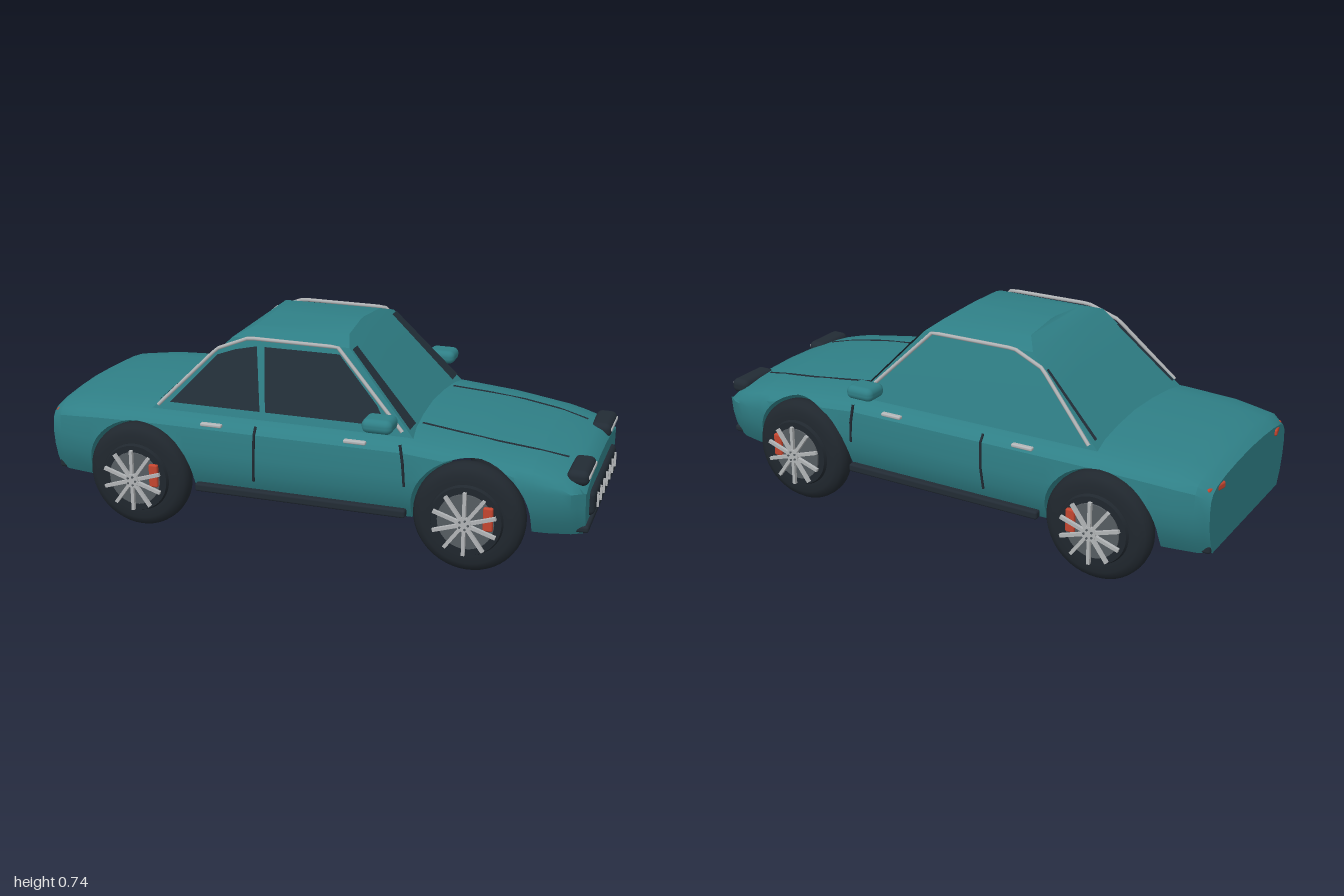
import * as THREE from 'three';
import { toCreasedNormals } from 'three/addons/utils/BufferGeometryUtils.js';
import { RoundedBoxGeometry } from 'three/addons/geometries/RoundedBoxGeometry.js';

const mat = (name, color, side = THREE.FrontSide) => {
  const m = new THREE.MeshStandardMaterial({ color, side });
  m.name = name;
  return m;
};
const paint = mat('teal paint', 0x2f7f86);
const dark = mat('dark trim', 0x222b34);
const glass = mat('dark glass', 0x232f39, THREE.DoubleSide);
const rubber = mat('tyre rubber', 0x20272e);
const silver = mat('silver', 0xb2b5b7);
const rotorGrey = mat('rotor grey', 0x565c61);
const red = mat('red', 0xc4452f);

const FLOOR = 0.15, AXLE_Y = 0.195, ARCH = 0.207, AXLES = [-0.628, 0.593];

// Piecewise linear lookup in [[key, value], ...]
function lookup(table, k) {
  if (k <= table[0][0]) return table[0][1];
  for (let i = 1; i < table.length; i++) {
    const [a, va] = table[i - 1], [b, vb] = table[i];
    if (k <= b) return va + (vb - va) * (k - a) / (b - a || 1);
  }
  return table[table.length - 1][1];
}

const WIDTH = [[-1, 0.345], [-0.95, 0.375], [-0.8, 0.398], [-0.6, 0.405], [0.6, 0.405], [0.85, 0.39], [0.93, 0.37], [0.975, 0.34]];
const HEIGHT = [[-1, 0.412], [-0.955, 0.437], [-0.8, 0.453], [-0.6, 0.46], [0.36, 0.458], [0.6, 0.436], [0.8, 0.408], [0.9, 0.385], [0.95, 0.365], [0.975, 0.34]];

// Half cross-section of the body at x: [y, z] from floor to centre line
function halfSection(x) {
  const w = lookup(WIDTH, x), h = lookup(HEIGHT, x), s = h - 0.038;
  return [[FLOOR, 0.87 * w], [0.2, 0.94 * w], [0.25, 0.98 * w], [0.31, w], [s - 0.022, 0.985 * w],
    [s, 0.94 * w], [s + 0.014, 0.86 * w], [s + 0.026, 0.65 * w], [s + 0.034, 0.35 * w], [h, 0]];
}
const deckY = (x, z) => lookup(halfSection(x).map(([y, w]) => [w, y]).reverse(), z);

// Skin closed rings of [x, y, z] points and cap both ends
function loft(rings, crease) {
  const n = rings[0].length, pos = rings.flat(2), idx = [];
  for (let i = 0; i < rings.length - 1; i++) {
    for (let j = 0; j < n; j++) {
      const a = i * n + j, b = i * n + (j + 1) % n;
      idx.push(a, a + n, b, b, a + n, b + n);
    }
  }
  const last = (rings.length - 1) * n;
  for (let j = 1; j < n - 1; j++) idx.push(0, j, j + 1, last, last + j + 1, last + j);
  const g = new THREE.BufferGeometry();
  g.setAttribute('position', new THREE.Float32BufferAttribute(pos, 3));
  g.setIndex(idx);
  return toCreasedNormals(g, crease);
}

function bodyGeometry() {
  // Stations along the car, following each wheel arch
  const stations = [-1, -0.985, -0.955, -0.88, 0.82, 0.85, 0.9, 0.93, 0.95, 0.975].map(x => [x, FLOOR]);
  for (const x of [-0.3, -0.1, 0.1, 0.3, 0.36]) stations.push([x, FLOOR]);
  for (const cx of AXLES) {
    stations.push([cx - ARCH - 0.0002, FLOOR], [cx + ARCH + 0.0002, FLOOR]);
    for (let k = 0; k <= 20; k++) {
      const a = Math.PI * k / 20;
      stations.push([cx - ARCH * Math.cos(a), AXLE_Y + ARCH * Math.sin(a)]);
    }
  }
  stations.sort((p, q) => p[0] - q[0]);
  const rings = stations.map(([x, floor]) => {
    const sec = halfSection(x);
    const half = sec.map(([y]) => {
      const yy = Math.max(y, floor);
      return [x, yy, lookup(sec, yy)];
    });
    return [...half, ...half.slice(0, -1).reverse().map(([a, b, c]) => [a, b, -c])];
  });
  return loft(rings, 0.55);
}

// Slopes of the cabin planes
const sideZ = y => 0.34 - 0.278 * (y - 0.44);
const frontX = y => 0.375 - 0.926 * (y - 0.44);
const rearX = y => -0.59 + 1.074 * (y - 0.44);

function cabinGeometry() {
  const levels = [[0.42, rearX(0.42), frontX(0.42), sideZ(0.42)], [0.58, rearX(0.58), frontX(0.58), sideZ(0.58)],
    [0.708, -0.305, 0.128, 0.265], [0.733, -0.25, 0.1, 0.18], [0.743, -0.24, 0.09, 0.02]];
  return loft(levels.map(([y, r, f, w]) => [[f, y, w], [r, y, w], [r, y, -w], [f, y, -w]]), 0.5);
}

// Thin face through coplanar points
function face(points) {
  const g = new THREE.BufferGeometry(), idx = [];
  for (let i = 1; i < points.length - 1; i++) idx.push(0, i, i + 1);
  g.setAttribute('position', new THREE.Float32BufferAttribute(points.flat(), 3));
  g.setIndex(idx);
  g.computeVertexNormals();
  return g;
}

function tube(points, radius) {
  const path = new THREE.CurvePath();
  const v = points.map(p => new THREE.Vector3(...p));
  for (let i = 1; i < v.length; i++) path.add(new THREE.LineCurve3(v[i - 1], v[i]));
  return new THREE.TubeGeometry(path, 40, radius, 6);
}

function add(parent, name, geometry, material, x = 0, y = 0, z = 0) {
  const m = new THREE.Mesh(geometry, material);
  m.name = name;
  m.position.set(x, y, z);
  parent.add(m);
  return m;
}
const box = (x, y, z) => new THREE.BoxGeometry(x, y, z);
const rounded = (x, y, z, r) => new RoundedBoxGeometry(x, y, z, 3, r);
const disc = (r, t, n = 40) => new THREE.CylinderGeometry(r, r, t, n).rotateX(Math.PI / 2);

function makeWheel() {
  const wheel = new THREE.Group();
  const profile = [[0, -0.025], [0.12, -0.025], [0.127, -0.038], [0.16, -0.043], [0.182, -0.034], [0.193, -0.018], [0.195, 0],
    [0.193, 0.018], [0.182, 0.034], [0.16, 0.043], [0.127, 0.043], [0.122, 0.055], [0, 0.055]].map(p => new THREE.Vector2(...p));
  add(wheel, 'tyre', toCreasedNormals(new THREE.LatheGeometry(profile, 48).rotateX(Math.PI / 2), 0.6), rubber);
  add(wheel, 'brakeRotor', disc(0.098, 0.008), rotorGrey, 0, 0, 0.057);
  add(wheel, 'brakeCaliper', rounded(0.034, 0.085, 0.018, 0.006), red, 0.078, 0.022, 0.063);
  for (let i = 0; i < 10; i++) {
    const a = Math.PI / 2 + i * Math.PI / 5;
    add(wheel, 'spoke', box(0.095, 0.012, 0.012), silver, 0.066 * Math.cos(a), 0.066 * Math.sin(a), 0.079).rotation.z = a;
  }
  add(wheel, 'hub', disc(0.026, 0.014, 24), silver, 0, 0, 0.08);
  for (let i = 0; i < 5; i++) {
    const a = i * Math.PI * 0.4;
    add(wheel, 'wheelBolt', disc(0.004, 0.012, 8), rotorGrey, 0.016 * Math.cos(a), 0.016 * Math.sin(a), 0.085);
  }
  return wheel;
}

export function createModel() {
  const car = new THREE.Group();
  car.name = 'car';
  add(car, 'body', bodyGeometry(), paint);
  add(car, 'cabin', cabinGeometry(), paint);

  // Side glass, fitted on one side only
  const pane = pts => face(pts.map(([x, y]) => [x, y, sideZ(y) + 0.004]));
  add(car, 'rearSideWindow', pane([[-0.525, 0.465], [-0.18, 0.465], [-0.21, 0.685], [-0.29, 0.668], [-0.355, 0.645]]), glass);
  add(car, 'frontSideWindow', pane([[-0.16, 0.465], [0.285, 0.465], [0.245, 0.53], [0.095, 0.685], [-0.182, 0.685]]), glass);

  // Nose and tail
  add(car, 'grille', rounded(0.045, 0.092, 0.5, 0.02), dark, 0.97, 0.236);
  for (let i = -3; i <= 3; i++) add(car, 'grilleSlat', box(0.012, 0.054, 0.006), silver, 0.994, 0.236, i * 0.066);
  add(car, 'frontBumper', rounded(0.07, 0.026, 0.64, 0.01), dark, 0.952, 0.17);
  add(car, 'rearBumper', rounded(0.05, 0.034, 0.64, 0.01), dark, -0.974, 0.167);

  for (const s of [1, -1]) {
    for (const x of AXLES) {
      const wheel = makeWheel();
      wheel.name = x > 0 ? 'frontWheel' : 'rearWheel';
      wheel.position.set(x, AXLE_Y, s * 0.378);
      wheel.scale.z = s;
      car.add(wheel);
    }
    // Dark strips along the windscreen and rear pillars
    const strip = (pts, fx, off) => face(pts.map(([y, z]) => [fx(y) + off, y + 0.004, s * z]));
    add(car, 'windscreenStrip', strip([[0.455, 0.255], [0.455, 0.328], [0.7, 0.265], [0.7, 0.214]], frontX, 0.005), glass);
    add(car, 'rearPillarStrip', strip([[0.46, 0.305], [0.46, 0.322], [0.655, 0.276], [0.655, 0.262]], rearX, -0.005), glass);
    // Bright window surround
    const rail = [[-0.565, 0.455], [-0.355, 0.668], [-0.24, 0.713], [0.09, 0.711], [0.345, 0.455]];
    add(car, 'windowTrim', tube(rail.map(([x, y]) => [x, y, s * (sideZ(y) + 0.014)]), 0.007), silver);

    add(car, 'sideMirror', rounded(0.108, 0.05, 0.095, 0.022), paint, 0.285, 0.502, s * 0.418);
    add(car, 'sill', rounded(0.78, 0.03, 0.03, 0.008), dark, -0.015, 0.18, s * 0.398);
    for (const x of [-0.34, 0.19]) add(car, 'doorHandle', rounded(0.08, 0.013, 0.02, 0.005), silver, x, 0.418, s * 0.396);
    add(car, 'rearDoorSeam', tube([[-0.185, 0.225, s * 0.394], [-0.18, 0.31, s * 0.405], [-0.178, 0.4, s * 0.4], [-0.178, 0.425, s * 0.382]], 0.005), dark);
    add(car, 'frontDoorSeam', tube([[0.368, 0.28, s * 0.401], [0.363, 0.36, s * 0.406], [0.352, 0.43, s * 0.402]], 0.005), dark);
    const seam = [[0.38, 0.215], [0.52, 0.227], [0.65, 0.232], [0.78, 0.22], [0.89, 0.2]];
    add(car, 'bonnetSeam', tube(seam.map(([x, z]) => [x, deckY(x, z), s * z]), 0.004), dark);

    add(car, 'headlight', rounded(0.075, 0.054, 0.178, 0.022), dark, 0.942, 0.353, s * 0.243);
    add(car, 'headlightBar', rounded(0.012, 0.013, 0.15, 0.004), silver, 0.977, 0.357, s * 0.243);
    add(car, 'tailLight', rounded(0.025, 0.026, 0.1, 0.008), red, -0.987, 0.376, s * 0.283).rotation.y = s * 0.2;
  }
  return car;
}
